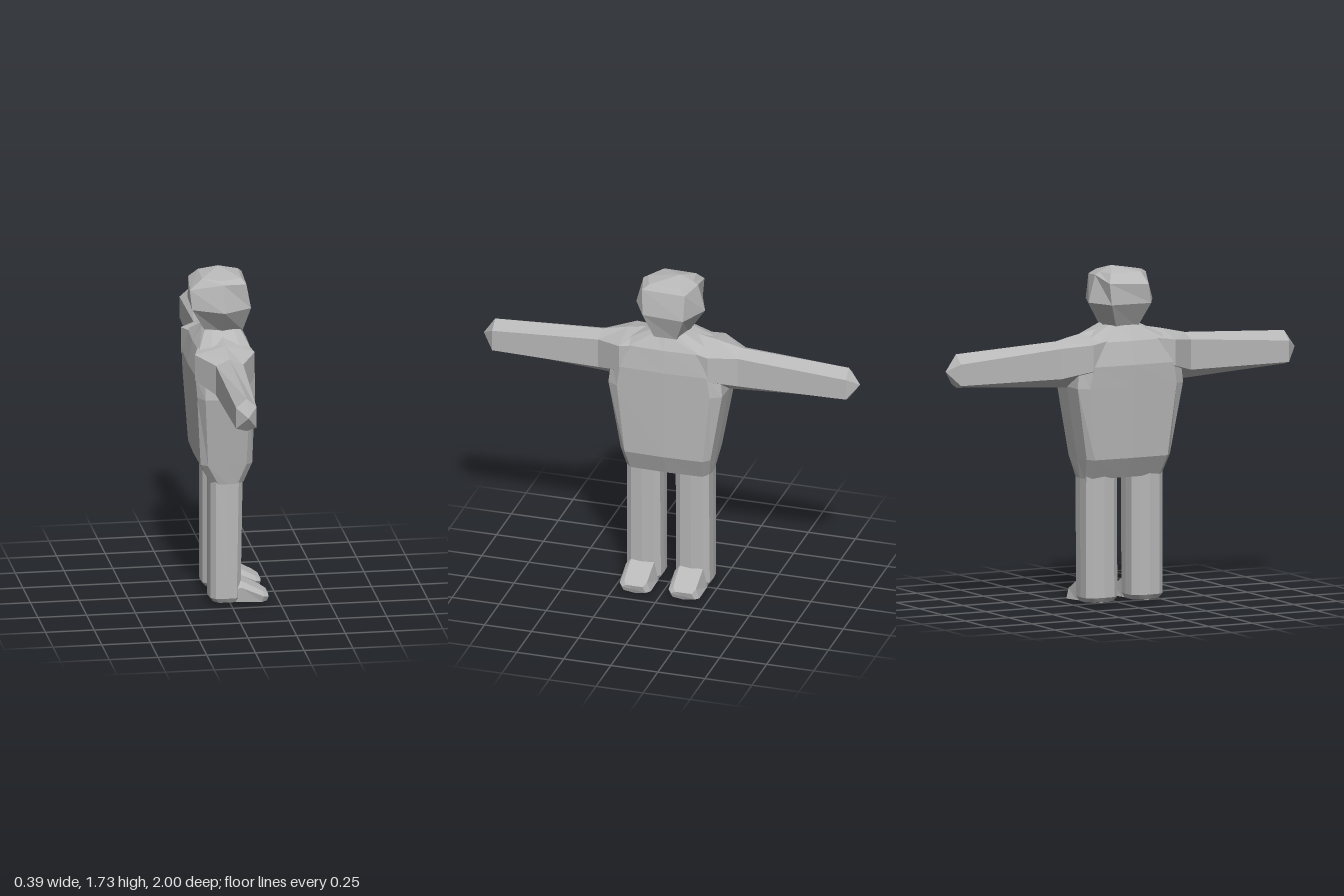
import * as THREE from 'three';

const grey = new THREE.MeshStandardMaterial({ color: 0xb8b8b8, flatShading: true });
grey.name = 'plain grey';

// Skin a row of equal-length rings of [x, y, z] points; each end closes on a tip or its centre.
function loft(name, rings, startTip, endTip) {
  const centre = r => [0, 1, 2].map(k => r.reduce((s, p) => s + p[k], 0) / r.length);
  const n = rings[0].length;
  const last = rings.length - 1;
  const a = startTip || centre(rings[0]);
  const b = endTip || centre(rings[last]);
  const tris = [];
  for (let i = 0; i < n; i++) {
    const j = (i + 1) % n;
    tris.push([a, rings[0][j], rings[0][i]], [b, rings[last][i], rings[last][j]]);
    for (let k = 0; k < last; k++) {
      const lo = rings[k], hi = rings[k + 1];
      tris.push([lo[i], lo[j], hi[j]], [lo[i], hi[j], hi[i]]);
    }
  }
  // Turn every face outward, using the sign of the enclosed volume
  const v = p => new THREE.Vector3(...p);
  const volume = tris.reduce((s, [p, q, r]) => s + v(p).sub(v(a)).dot(v(q).sub(v(a)).cross(v(r).sub(v(a)))), 0);
  const points = tris.flatMap(([p, q, r]) => (volume > 0 ? [p, q, r] : [p, r, q]));
  const g = new THREE.BufferGeometry();
  g.setAttribute('position', new THREE.Float32BufferAttribute(points.flat(), 3));
  g.computeVertexNormals();
  const mesh = new THREE.Mesh(g, grey);
  mesh.name = name;
  return mesh;
}

// Level ring: back and front x, half depth in z, bevelled corners, about the line z = cz
function level(y, x0, x1, hz, bevelX, bevelZ, cz = 0) {
  const c = hz - bevelZ;
  const mid = (x0 + x1) / 2;
  return [
    [x1, y, cz], [x1 - 0.006, y, cz + c], [x1 - bevelX, y, cz + hz], [mid, y, cz + hz + 0.004],
    [x0 + bevelX, y, cz + hz], [x0 + 0.006, y, cz + c], [x0, y, cz], [x0 + 0.006, y, cz - c],
    [x0 + bevelX, y, cz - hz], [mid, y, cz - hz - 0.004], [x1 - bevelX, y, cz - hz], [x1 - 0.006, y, cz - c],
  ];
}

export function createModel() {
  const model = new THREE.Group();
  model.name = 'figure';

  // Trunk, from hips to the base of the neck
  model.add(loft('torso', [
    level(0.655, -0.11, 0.07, 0.22, 0.04, 0.03),
    level(0.76, -0.165, 0.112, 0.238, 0.04, 0.03),
    level(1.13, -0.188, 0.12, 0.302, 0.04, 0.055),
    level(1.24, -0.195, 0.122, 0.29, 0.05, 0.06),
    level(1.36, -0.17, 0.108, 0.24, 0.06, 0.05),
    level(1.435, -0.12, 0.07, 0.09, 0.04, 0.03),
  ]));

  // Faceted head, slightly uneven, tapering to the neck
  const headRing = (y, pts) => pts.map(([x, z, dy = 0]) => [x, y + dy, z]);
  model.add(loft('head', [
    headRing(1.42, [[0.08, -0.06], [0.08, 0.06], [-0.03, 0.09], [-0.11, 0.06], [-0.11, -0.06], [-0.03, -0.09]]),
    headRing(1.55, [[0.13, -0.11], [0.115, 0.11], [-0.03, 0.188], [-0.185, 0.10], [-0.175, -0.12], [-0.03, -0.178]]),
    headRing(1.66, [[0.10, -0.11, 0.02], [0.09, 0.12, 0.02], [-0.03, 0.15, 0.03], [-0.195, 0.08, -0.01], [-0.17, -0.13, 0], [-0.03, -0.14, 0.03]]),
    headRing(1.705, [[0.075, -0.08], [0.07, 0.09], [-0.03, 0.125], [-0.13, 0.07], [-0.125, -0.10], [-0.03, -0.115]]),
  ], null, [-0.03, 1.735, -0.05]));

  // Six-sided arm section at depth z: top, bevel, side and bottom heights
  const armRing = (z, x0, x1, top, upper, lower, bottom) => [
    [-0.035, top, z], [x1, upper, z], [x1, lower, z], [-0.035, bottom, z], [x0, lower, z], [x0, upper, z],
  ];

  for (const [side, s] of [['left', 1], ['right', -1]]) {
    // Shoulder and outstretched arm with a pointed end
    model.add(loft(side + 'Arm', [
      armRing(s * 0.10, -0.15, 0.09, 1.42, 1.37, 1.24, 1.15),
      armRing(s * 0.235, -0.192, 0.114, 1.395, 1.355, 1.22, 1.12),
      armRing(s * 0.37, -0.105, 0.035, 1.365, 1.335, 1.18, 1.13),
      armRing(s * 0.94, -0.09, 0.015, 1.337, 1.29, 1.18, 1.165),
    ], null, [-0.035, 1.25, s]));

    // Straight leg
    const legZ = s * 0.13;
    model.add(loft(side + 'Leg', [
      level(0.02, -0.095, 0.05, 0.075, 0.03, 0.03, legZ),
      level(0.045, -0.112, 0.055, 0.09, 0.03, 0.03, legZ),
      level(0.68, -0.112, 0.066, 0.088, 0.03, 0.03, legZ),
    ]));

    // Wedge foot, low at the toe
    const footRing = (x, y0, y1, hz, slant) => [
      [x, y1, legZ - hz * 0.7], [x, y1, legZ + hz * 0.7], [x, y1 - slant, legZ + hz],
      [x - 0.008, y0 + 0.012, legZ + hz * 0.9], [x - 0.015, y0, legZ], [x - 0.008, y0 + 0.012, legZ - hz * 0.9],
    ];
    model.add(loft(side + 'Foot', [
      footRing(-0.07, 0.015, 0.10, 0.07, 0.02),
      footRing(0.05, 0.008, 0.128, 0.088, 0.03),
      footRing(0.165, 0.002, 0.066, 0.085, 0.02),
      footRing(0.192, 0.004, 0.05, 0.065, 0.012),
    ]));
  }
  return model;
}
